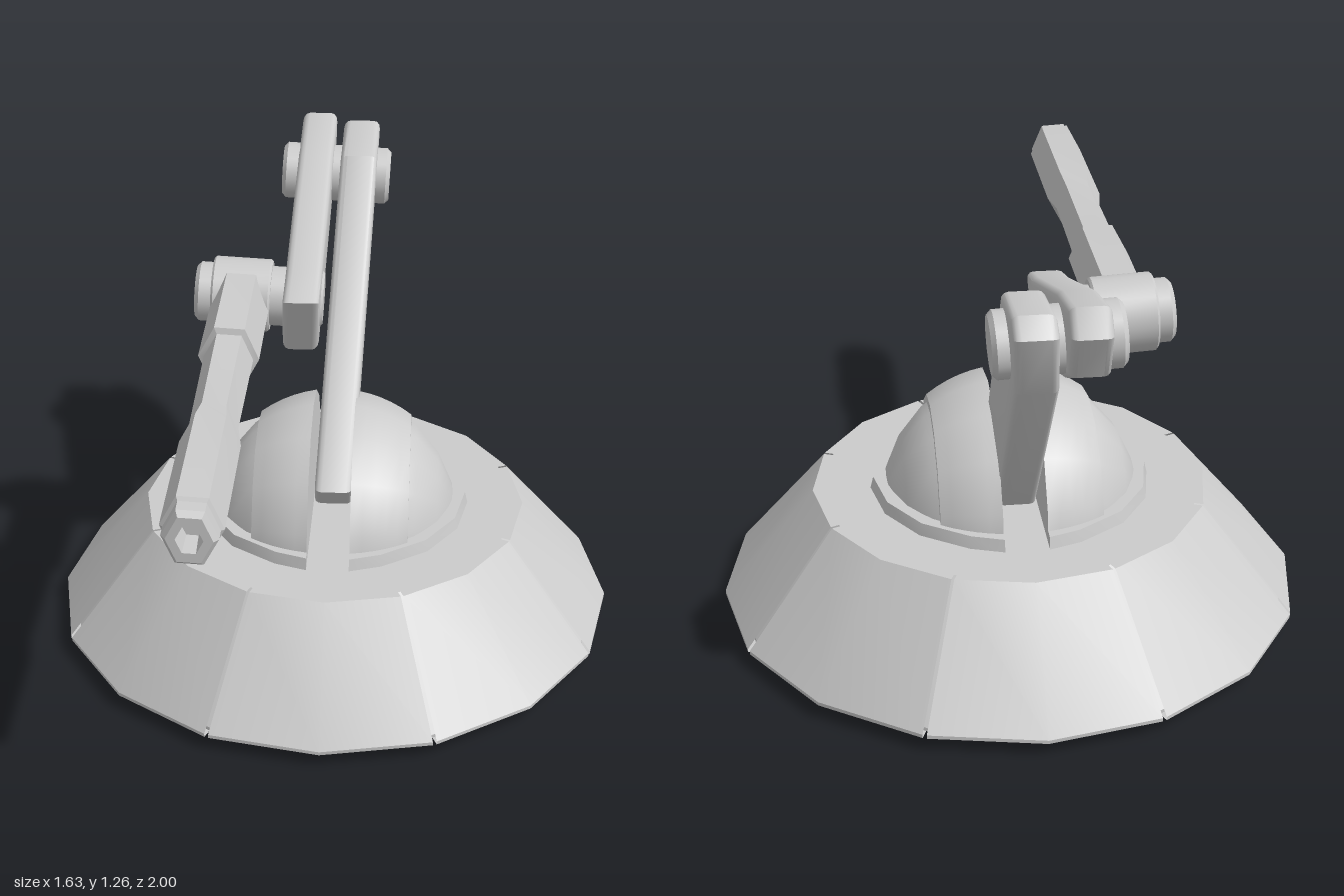
import * as THREE from 'three';
import { toCreasedNormals } from 'three/addons/utils/BufferGeometryUtils.js';

const material = new THREE.MeshStandardMaterial({ color: 0xcccccc, side: THREE.DoubleSide });

function addPart(parent, name, geometry, crease = 0.6) {
  const mesh = new THREE.Mesh(toCreasedNormals(geometry, crease), material);
  mesh.name = name;
  parent.add(mesh);
  return mesh;
}

const lathe = (points, sides, start = 0, length = Math.PI * 2) =>
  new THREE.LatheGeometry(points.map(([r, y]) => new THREE.Vector2(r, y)), sides, start, length);

// Slice of a ball between two x planes, with its lower half flattened
function ballSlice(radius, x0, x1) {
  const points = [[0, x0]];
  const a0 = Math.asin(x0 / radius), a1 = Math.asin(x1 / radius);
  for (let i = 0; i <= 5; i++) {
    const a = a0 + (a1 - a0) * i / 5;
    points.push([radius * Math.cos(a), radius * Math.sin(a)]);
  }
  points.push([0, x1]);
  const g = lathe(points, 16).rotateZ(-Math.PI / 2);
  const p = g.attributes.position;
  for (let i = 0; i < p.count; i++) if (p.getY(i) < 0) p.setY(i, p.getY(i) * 0.8);
  return g;
}

// Beam from a side outline of [z, y] points, leaning in x along its height
function beam(outline, width, leanX) {
  const shape = new THREE.Shape(outline.map(([z, y]) => new THREE.Vector2(z, y)));
  const bevel = 0.02;
  const g = new THREE.ExtrudeGeometry(shape, {
    depth: width - 2 * bevel, bevelThickness: bevel, bevelSize: bevel,
    bevelOffset: -bevel, bevelSegments: 3,
  });
  g.translate(0, 0, -(width - 2 * bevel) / 2).rotateY(-Math.PI / 2);
  const p = g.attributes.position;
  for (let i = 0; i < p.count; i++) p.setX(i, p.getX(i) + leanX(p.getY(i)));
  return g;
}

// Chamfered pin along x
function pin(radius, x0, x1, chamfer = 0.012) {
  return lathe([
    [0, x0], [radius - chamfer, x0], [radius, x0 + chamfer],
    [radius, x1 - chamfer], [radius - chamfer, x1], [0, x1],
  ], 24).rotateZ(-Math.PI / 2);
}

export function createModel() {
  const model = new THREE.Group();
  model.name = 'armTurret';

  // Sloped base: solid core with eight panels divided by narrow grooves
  const base = new THREE.Group();
  base.name = 'base';
  base.position.z = -0.15;
  model.add(base);
  addPart(base, 'baseCore', lathe([[0, 0.04], [0.785, 0.04], [0.785, 0.05], [0.53, 0.358], [0, 0.358]], 16));
  const gap = 0.007;
  for (let i = 0; i < 8; i++) {
    const start = Math.PI / 8 + i * Math.PI / 4 + gap;
    addPart(base, 'basePanel', lathe(
      [[0.5, 0.04], [0.815, 0.04], [0.815, 0.05], [0.555, 0.36], [0.5, 0.36]],
      2, start, Math.PI / 4 - 2 * gap));
  }

  // Split dome: two mirrored halves with a slot for the arm
  for (const side of [0, 1]) {
    const half = new THREE.Group();
    half.name = side ? 'rightDomeHalf' : 'leftDomeHalf';
    half.position.set(0, 0.3, -0.15);
    half.rotation.y = side * Math.PI;
    model.add(half);
    addPart(half, 'domeCore', ballSlice(0.362, 0.061, 0.3619));
    addPart(half, 'domeShell', ballSlice(0.378, 0.06, 0.222));
    const collar = lathe([[0, 0.05], [0.395, 0.05], [0.385, 0.092], [0, 0.092]], 16);
    const p = collar.attributes.position;
    for (let i = 0; i < p.count; i++) p.setX(i, Math.max(p.getX(i), 0.06));
    addPart(half, 'domeCollar', collar);
  }

  // Lower arm rising backwards out of the slot
  addPart(model, 'lowerArm', beam([
    [-0.02, 0.455], [-0.21, 0.27], [-0.945, 1.03], [-1.0, 1.195], [-0.95, 1.238], [-0.74, 1.205],
  ], 0.11, y => (y - 0.4) * 0.054));

  // Upper arm folding forwards beside it
  addPart(model, 'upperArm', beam([
    [-0.15, 0.995], [-0.257, 0.795], [-0.406, 0.845], [-0.8, 0.995], [-0.93, 1.06],
    [-1.0, 1.19], [-0.96, 1.257], [-0.75, 1.205], [-0.27, 1.03],
  ], 0.105, y => -0.105 + (y - 0.8) * 0.045));

  // Joints
  const tilt = -0.05;
  const rearJoint = addPart(model, 'rearJointPin', pin(0.085, -0.163, 0.163));
  rearJoint.position.set(-0.028, 1.115, -0.825);
  rearJoint.rotation.z = tilt;

  const frontJoint = new THREE.Group();
  frontJoint.name = 'frontJoint';
  frontJoint.position.set(-0.277, 0.938, -0.325);
  frontJoint.rotation.z = tilt;
  model.add(frontJoint);
  addPart(frontJoint, 'frontJointPin', pin(0.086, -0.133, 0.237));
  addPart(frontJoint, 'barrelHub', pin(0.105, -0.085, 0.085, 0.006));

  // Six-sided barrel with a hollow muzzle
  const barrel = lathe([
    [0, 0], [0.08, 0], [0.084, 0.06], [0.084, 0.4], [0.068, 0.405],
    [0.064, 0.78], [0.079, 0.87], [0.079, 1.265], [0.07, 1.272], [0.07, 1.31],
    [0.058, 1.325], [0.034, 1.325], [0.03, 1.25], [0, 1.25],
  ], 6, Math.PI / 2);
  barrel.rotateX(Math.PI / 2).scale(1, 1.23, 1);
  const gun = addPart(model, 'barrel', barrel, 0.3);
  gun.position.set(-0.277, 0.938, -0.325);
  gun.rotation.set(0.008, -0.005, tilt);

  return model;
}
